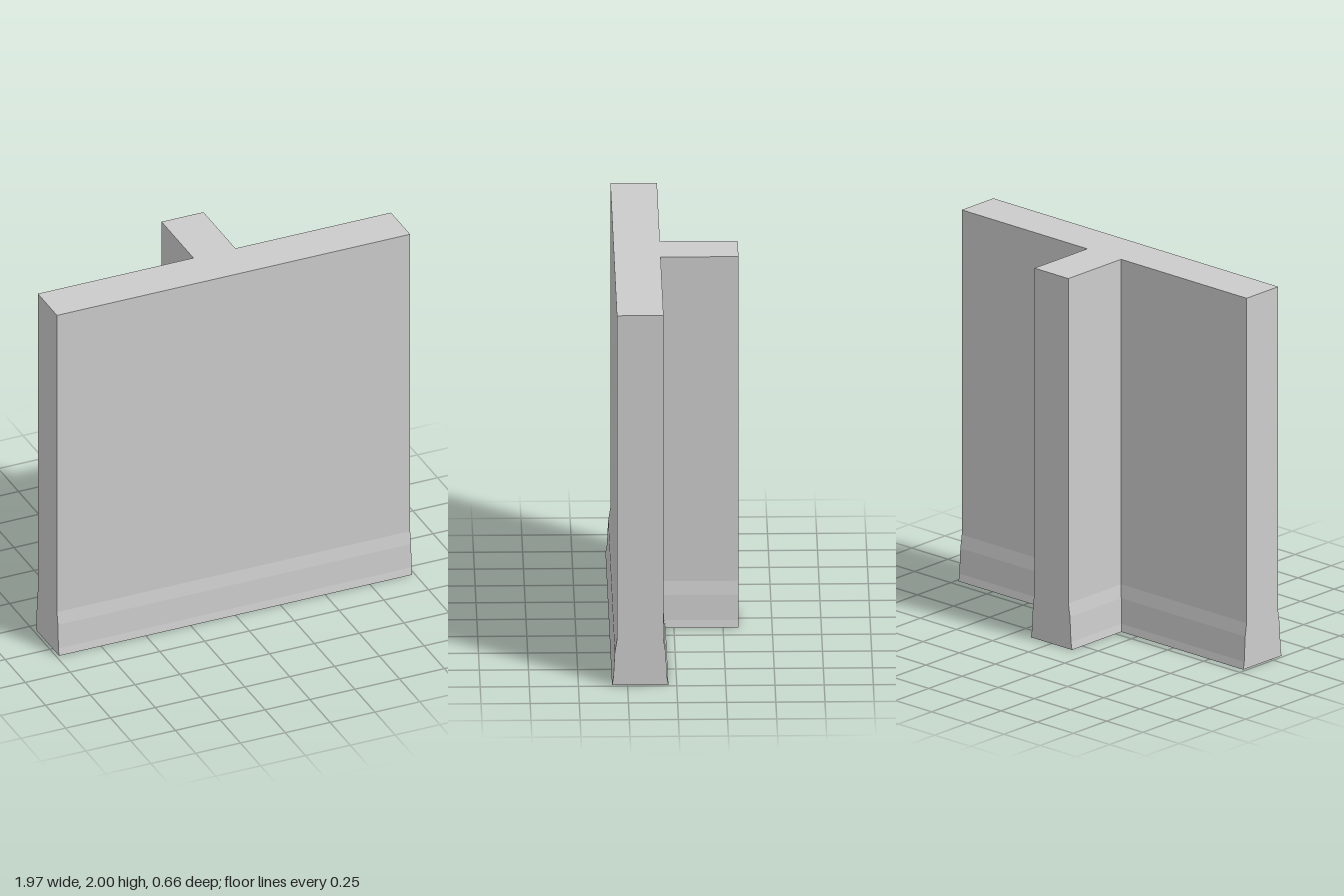
import * as THREE from 'three';

// T-shaped plan, with the long faces pushed out by d
function outline(d) {
  const w = 0.985, front = 0.304 + d, back = 0.067 - d, s = 0.117 + d, end = -0.329;
  return [[w, front], [w, back], [s, back], [s, end], [-s, end], [-s, back], [-w, back], [-w, front]];
}

// Height and outward flare, from the floor to the top
const levels = [[0, 0.025], [0.012, 0.023], [0.04, 0.018], [0.175, 0.011], [0.245, 0], [2, 0]];

export function createModel() {
  const rings = levels.map(([y, d]) => outline(d).map(([x, z]) => [x, y, z]));
  const pos = [];
  const tri = (...corners) => corners.forEach((p) => pos.push(...p));

  // Side faces between neighbouring levels
  for (let k = 0; k < rings.length - 1; k++) {
    const low = rings[k], high = rings[k + 1];
    for (let i = 0; i < low.length; i++) {
      const j = (i + 1) % low.length;
      tri(low[i], low[j], high[j]);
      tri(low[i], high[j], high[i]);
    }
  }

  // Flat top and underside
  const bottom = rings[0], top = rings[rings.length - 1];
  const plan = top.map(([x, , z]) => new THREE.Vector2(x, -z));
  for (const [a, b, c] of THREE.ShapeUtils.triangulateShape(plan, [])) {
    tri(top[a], top[b], top[c]);
    tri(bottom[a], bottom[c], bottom[b]);
  }

  const geometry = new THREE.BufferGeometry();
  geometry.setAttribute('position', new THREE.Float32BufferAttribute(pos, 3));
  geometry.computeVertexNormals();

  const wall = new THREE.Mesh(
    geometry,
    new THREE.MeshStandardMaterial({ color: 0xcccccc, flatShading: true })
  );
  wall.name = 'teeWall';
  const group = new THREE.Group();
  group.name = 'wallJunction';
  group.add(wall);
  return group;
}
